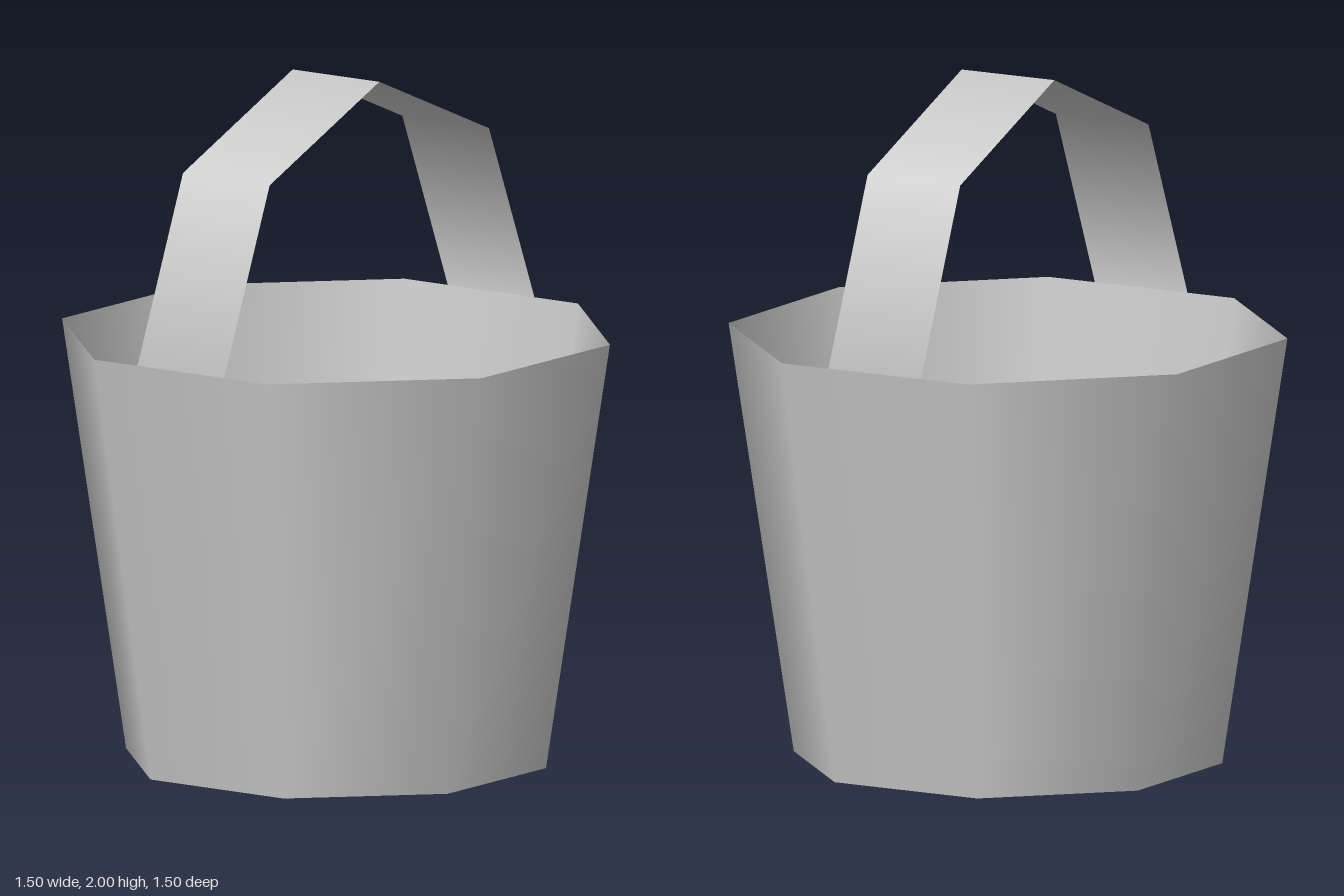
import * as THREE from 'three';

const SIDES = 8;
const TURN = Math.PI / SIDES; // puts a flat side at the front
const HEIGHT = 1.25;
const RIM_RADIUS = 0.75 / Math.cos(TURN);
const BASE_RADIUS = 0.575 / Math.cos(TURN);
const HANDLE_WIDTH = 0.31;
const HANDLE_RADIUS = 0.75;

export function createModel() {
  const model = new THREE.Group();
  model.name = 'bucket';

  const metal = new THREE.MeshStandardMaterial({ color: 0xcccccc, side: THREE.DoubleSide });
  metal.name = 'light grey metal';

  const add = (name, geometry) => {
    const mesh = new THREE.Mesh(geometry, metal);
    mesh.name = name;
    model.add(mesh);
  };

  // Tapered eight-sided wall, open at both ends
  add('wall', new THREE.CylinderGeometry(
    RIM_RADIUS, BASE_RADIUS, HEIGHT, SIDES, 1, true, TURN, Math.PI * 2
  ).translate(0, HEIGHT / 2, 0));

  // Flat base, facing down
  add('base', new THREE.CircleGeometry(BASE_RADIUS, SIDES, TURN)
    .rotateX(Math.PI / 2));

  // Half-hoop strap from the front rim to the back rim
  add('handle', new THREE.CylinderGeometry(
    HANDLE_RADIUS, HANDLE_RADIUS, HANDLE_WIDTH, 4, 1, true, 0, Math.PI
  ).rotateZ(Math.PI / 2).translate(0, HEIGHT, 0));

  return model;
}
